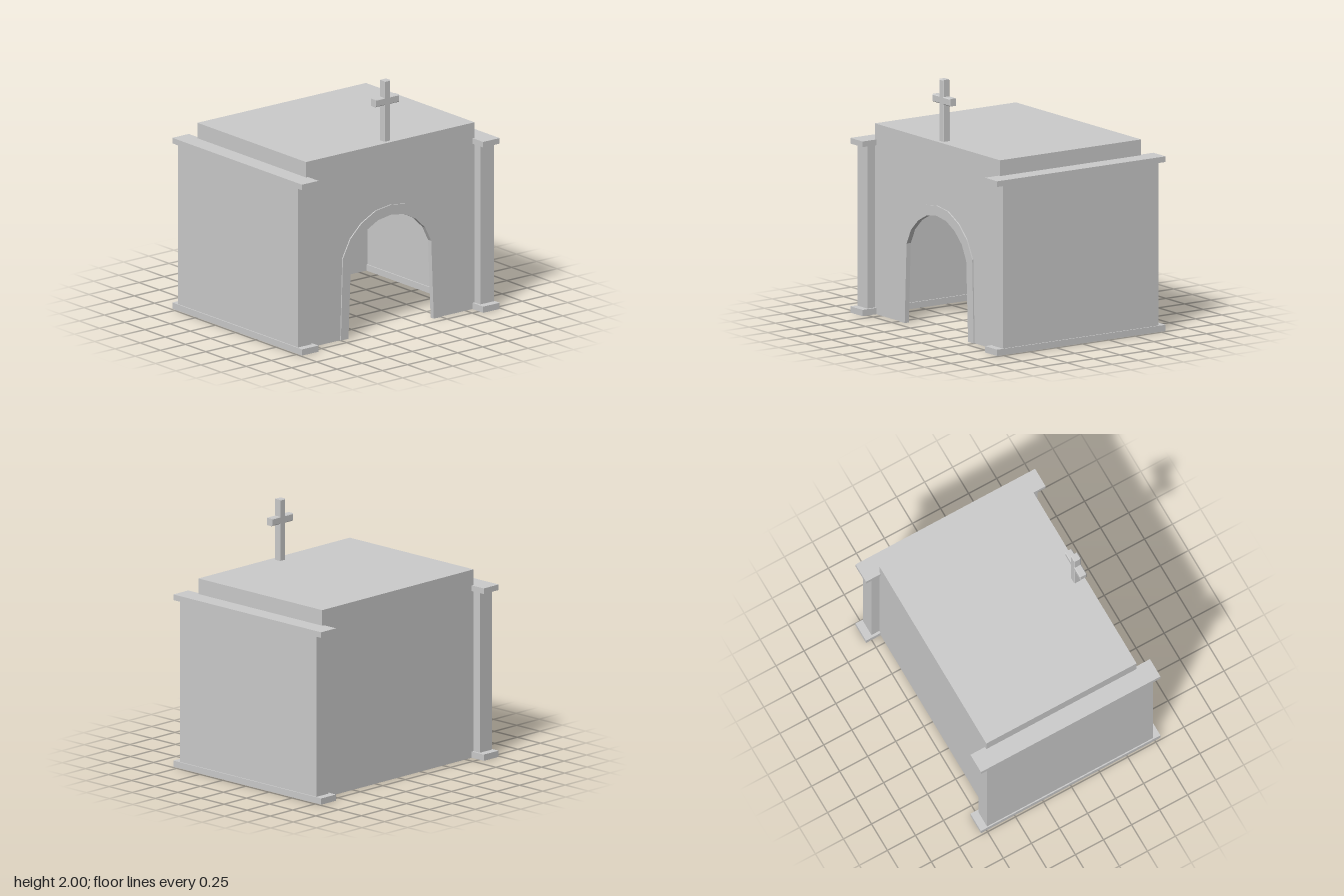
import * as THREE from 'three';

const material = new THREE.MeshStandardMaterial({ color: 0xcccccc, flatShading: true });

// Right half of the arch outlines, from the ground up to the crown
const OUTER = [[0.5, 0], [0.48, 0.66], [0.405, 0.805], [0.295, 0.91], [0.15, 0.985], [0, 1.005]];
const INNER = [[0.425, 0], [0.4, 0.635], [0.34, 0.755], [0.245, 0.845], [0.13, 0.905], [0, 0.925]];

// Full arch from the right foot over the crown to the left foot
function arch(half) {
  const left = half.slice(0, -1).reverse().map(([x, y]) => [-x, y]);
  return [...half, ...left];
}

function polygon(points) {
  return new THREE.Shape(points.map(([x, y]) => new THREE.Vector2(x, y)));
}

export function createModel() {
  const model = new THREE.Group();

  function add(name, geometry, x = 0, y = 0, z = 0) {
    const mesh = new THREE.Mesh(geometry, material);
    mesh.name = name;
    mesh.position.set(x, y, z);
    model.add(mesh);
  }

  // Box given by its limits on each axis
  function box(name, x0, x1, y0, y1, z0, z1) {
    add(name, new THREE.BoxGeometry(x1 - x0, y1 - y0, z1 - z0),
      (x0 + x1) / 2, (y0 + y1) / 2, (z0 + z1) / 2);
  }

  function extrude(name, shape, z0, z1) {
    add(name, new THREE.ExtrudeGeometry(shape, { depth: z1 - z0, bevelEnabled: false }), 0, 0, z0);
  }

  // Hollow hall: front wall with the arched doorway, back wall, roof, open below
  const wall = polygon([[0.84, 0], [0.84, 1.51], [-0.84, 1.51], [-0.84, 0], ...arch(OUTER).reverse()]);
  extrude('frontWall', wall, 0.64, 0.67);
  box('backWall', -0.84, 0.84, 0, 1.51, -0.67, -0.64);
  box('roof', -0.84, 0.84, 1.48, 1.51, -0.64, 0.64);

  // Door surround, slightly proud of the front wall
  extrude('archTrim', polygon([...arch(OUTER), ...arch(INNER).reverse()]), 0.64, 0.68);

  // Thick side walls with base and cap slabs
  for (const [side, s] of [['left', 1], ['right', -1]]) {
    const slab = (name, a, b, y0, y1, z) =>
      box(side + name, Math.min(s * a, s * b), Math.max(s * a, s * b), y0, y1, -z, z);
    slab('InnerWall', 0.83, 0.84, 0, 1.48, 0.64);
    slab('SideWall', 0.84, 0.975, 0.05, 1.34, 0.74);
    slab('Base', 0.82, 0.985, 0, 0.05, 0.8);
    slab('Cap', 0.82, 0.985, 1.34, 1.385, 0.8);
  }

  // Roof cross with finely bevelled edges
  const b = 0.006;
  const w = 0.03 - b, a = 0.12 - b, low = 1.805 + b, high = 1.865 - b, top = 2 - b, foot = 1.505;
  const cross = polygon([
    [-w, foot], [w, foot], [w, low], [a, low], [a, high], [w, high],
    [w, top], [-w, top], [-w, high], [-a, high], [-a, low], [-w, low],
  ]);
  add('roofCross', new THREE.ExtrudeGeometry(cross, {
    depth: 0.06 - 2 * b, bevelThickness: b, bevelSize: b, bevelSegments: 1,
  }), 0, 0, 0.575 + b);

  return model;
}
